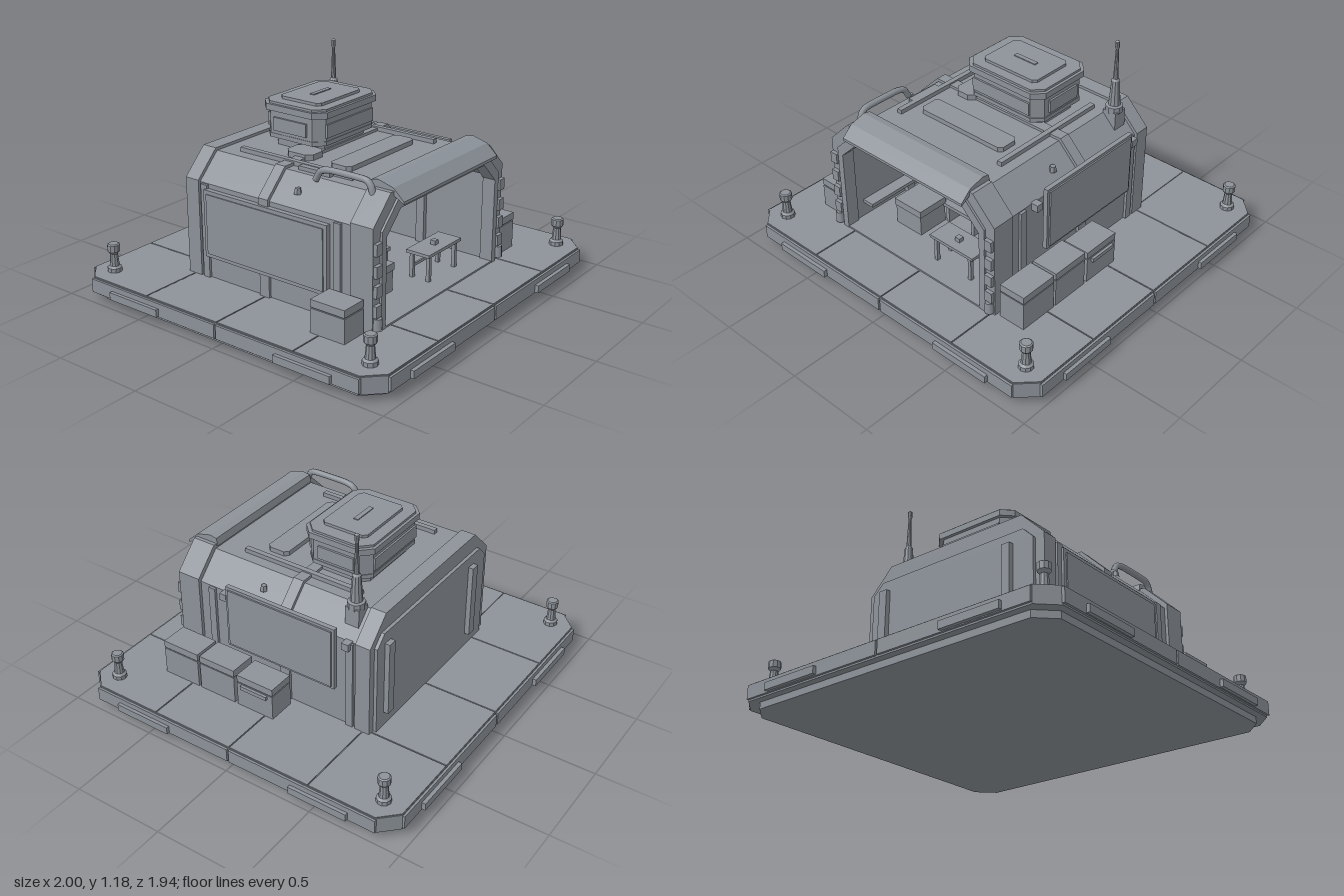
import * as THREE from 'three';

const steel = new THREE.MeshStandardMaterial({ color: 0x8c9299 });
steel.name = 'steel grey';

export function createModel() {
  const root = new THREE.Group();
  root.name = 'outpost';

  const add = (name, geo, parent = root) => {
    const m = new THREE.Mesh(geo, steel);
    m.name = name;
    parent.add(m);
    return m;
  };
  // box given by its limits
  const box = (name, x0, x1, y0, y1, z0, z1, parent) => {
    const g = new THREE.BoxGeometry(x1 - x0, y1 - y0, z1 - z0);
    g.translate((x0 + x1) / 2, (y0 + y1) / 2, (z0 + z1) / 2);
    return add(name, g, parent);
  };
  const shapeOf = pts => new THREE.Shape(pts.map(p => new THREE.Vector2(p[0], p[1])));
  const extrude = (pts, depth) => new THREE.ExtrudeGeometry(shapeOf(pts), { depth, bevelEnabled: false });
  // horizontal polygon of (x, z) points, raised from y0 to y1
  const plate = (name, pts, y0, y1, parent) => {
    const g = extrude(pts.map(([x, z]) => [x, -z]), y1 - y0);
    g.rotateX(-Math.PI / 2).translate(0, y0, 0);
    return add(name, g, parent);
  };
  const cutRect = (x0, x1, z0, z1, c) => [[x0 + c, z1], [x1 - c, z1], [x1, z1 - c], [x1, z0 + c],
    [x1 - c, z0], [x0 + c, z0], [x0, z0 + c], [x0, z1 - c]];
  const slab = (name, x0, x1, z0, z1, y0, y1, c, parent) => plate(name, cutRect(x0, x1, z0, z1, c), y0, y1, parent);
  const lathe = (name, pts, x, y, z, n = 12) => {
    const g = new THREE.LatheGeometry(pts.map(p => new THREE.Vector2(p[0], p[1])), n).toNonIndexed();
    g.computeVertexNormals();
    return add(name, g.translate(x, y, z));
  };

  // platform
  slab('platformFoot', -0.93, 0.93, -0.9, 0.9, 0, 0.04, 0.09);
  slab('platformSlab', -0.97, 0.97, -0.94, 0.94, 0.036, 0.123, 0.09);
  const cols = [-0.97, -0.485, 0, 0.485, 0.97], rows = [-0.94, -0.47, 0, 0.47, 0.94], gap = 0.003;
  for (let i = 0; i < 4; i++) for (let j = 0; j < 4; j++) {
    const xa = cols[i] + gap, xb = cols[i + 1] - gap, za = rows[j] + gap, zb = rows[j + 1] - gap;
    const pts = [];
    for (const [x, z, first] of [[xa, zb, 'z'], [xb, zb, 'x'], [xb, za, 'z'], [xa, za, 'x']]) {
      const corner = Math.abs(x) > 0.9 && Math.abs(z) > 0.9;
      const a = [x, z - Math.sign(z) * 0.09], b = [x - Math.sign(x) * 0.09, z];
      if (!corner) pts.push([x, z]);
      else pts.push(...(first === 'z' ? [a, b] : [b, a]));
    }
    plate('deckTile', pts, 0.122, 0.128);
  }
  for (const s of [-1, 1]) {
    const span = (a, b) => [Math.min(s * a, s * b), Math.max(s * a, s * b)];
    for (const [a, b] of [[-0.88, -0.006], [0.006, 0.88]]) {
      box('edgeTrimLong', a, b, 0.045, 0.118, ...span(0.93, 0.952));
      box('edgeTrimSide', ...span(0.96, 0.982), 0.045, 0.118, a * 0.97, b * 0.97);
    }
    for (const t of [-1, 1]) {
      const c = t * 0.56, d = t * 0.54;
      box('edgeBumperLong', c - 0.17, c + 0.17, 0.05, 0.09, ...span(0.94, 0.972));
      box('edgeBumperSide', ...span(0.97, 1), 0.05, 0.09, d - 0.165, d + 0.165);
      lathe('bollard', [[0, 0], [0.038, 0], [0.038, 0.025], [0.026, 0.035], [0.02, 0.1], [0.033, 0.115],
        [0.033, 0.15], [0.026, 0.155], [0, 0.155]], s * 0.852, 0.125, t * 0.82, 10);
    }
  }

  // hut shell: cut-corner arch cross-sections
  const arch = (x0, x1, top, c, y0 = 0.125) =>
    [[x0, y0], [x0, top - c], [x0 + c, top], [x1 - c, top], [x1, top - c], [x1, y0]];
  const ring = (name, outer, inner, z0, z1) =>
    add(name, extrude([...outer, ...inner.slice().reverse()], z1 - z0).translate(0, 0, z0));
  const body = arch(-0.603, 0.492, 0.765, 0.13), room = arch(-0.54, 0.43, 0.715, 0.11);
  const rib = arch(-0.617, 0.507, 0.78, 0.135);
  ring('hutWalls', body, room, -0.43, 0.54);
  ring('frontFrame', arch(-0.62, 0.51, 0.79, 0.135), room, 0.53, 0.66);
  ring('doorTrim', arch(-0.565, 0.455, 0.75, 0.125), arch(-0.53, 0.42, 0.7, 0.11), 0.6, 0.672);
  ring('middleRib', rib, body, -0.03, 0.03);
  ring('innerRib', arch(-0.545, 0.435, 0.72, 0.11), arch(-0.515, 0.405, 0.69, 0.1), 0.2, 0.25);
  add('backWall', extrude(rib, 0.085).translate(0, 0, -0.51));
  add('backPanel', extrude(arch(-0.565, 0.47, 0.69, 0.06), 0.02).translate(0, 0, -0.528));
  for (const x of [-0.42, 0.38]) box('backStrip', x - 0.025, x + 0.025, 0.21, 0.63, -0.555, -0.52);
  box('roomFloor', -0.545, 0.435, 0.125, 0.137, -0.43, 0.67);

  // side wall panels and ribs
  box('rightPanelMount', 0.48, 0.525, 0.38, 0.63, -0.3, 0.29);
  box('rightPanel', 0.52, 0.545, 0.355, 0.71, -0.33, 0.325);
  box('rightPanelFace', 0.54, 0.553, 0.37, 0.695, -0.315, 0.31);
  box('leftPanel', -0.63, -0.59, 0.25, 0.61, -0.38, 0.4);
  box('leftPanelFace', -0.636, -0.62, 0.27, 0.59, -0.36, 0.38);
  for (const z of [0.45, -0.39]) {
    box('wallRib', 0.48, 0.507, 0.125, 0.63, z - 0.02, z + 0.02);
    box('wallRib', -0.617, -0.59, 0.125, 0.63, z - 0.02, z + 0.02);
  }
  for (const z of [-0.38, 0.36]) box('wallBracket', 0.48, 0.53, 0.6, 0.64, z - 0.02, z + 0.02);
  for (const x of [-0.55, 0.44]) lathe('shoulderKnob', [[0.02, 0], [0.015, 0.03], [0, 0.03]], x, 0.69, 0.165, 6);

  // door pillar blocks and lamps
  for (const x of [-0.593, 0.483]) {
    for (const y of [0.24, 0.34, 0.44, 0.55]) box('pillarBlock', x - 0.022, x + 0.022, y - 0.03, y + 0.03, 0.65, 0.68);
    const lamp = new THREE.CylinderGeometry(0.022, 0.026, 0.06, 8);
    add('pillarLamp', lamp.translate(x, 0.175, 0.67));
  }

  // canopy over the door
  const canopy = extrude([[0.52, 0.78], [0.64, 0.78], [0.715, 0.735], [0.715, 0.75], [0.655, 0.805],
    [0.57, 0.828], [0.53, 0.82]], 0.815);
  add('canopy', canopy.rotateY(-Math.PI / 2).translate(0.355, 0, 0));

  // roof rails, plates and pipe
  for (const x of [-0.4, 0.29]) box('roofRail', x - 0.014, x + 0.014, 0.76, 0.788, -0.32, 0.385);
  box('railBox', -0.445, -0.4, 0.76, 0.785, 0.085, 0.275);
  slab('roofPlate', -0.33, 0.225, 0.18, 0.305, 0.76, 0.79, 0.02);
  slab('roofVent', -0.33, -0.2, -0.105, 0.06, 0.76, 0.795, 0.03);
  const path = new THREE.CatmullRomCurve3([[0.57, 0.75], [0.555, 0.8], [0.52, 0.826], [0.32, 0.826], [0.26, 0.81], [0.23, 0.76]]
    .map(([z, y]) => new THREE.Vector3(-0.495, y, z)), false, 'catmullrom', 0.3);
  add('roofPipe', new THREE.TubeGeometry(path, 24, 0.017, 8));

  // roof turret
  const turret = new THREE.Group();
  turret.name = 'roofTurret';
  root.add(turret);
  for (const [name, inset, y0, y1] of [['turretNeck', 0.05, 0.76, 0.82], ['turretSill', 0.015, 0.81, 0.832],
    ['turretBody', 0.018, 0.832, 0.955], ['turretCap', 0, 0.955, 0.988], ['turretLid', 0.015, 0.988, 1]])
    slab(name, -0.257, 0.26, -0.335, 0.07, y0, y1, 0.055, turret).geometry
      .translate(-0.0015, 0, 0.1325).scale((0.517 - 2 * inset) / 0.517, 1, (0.405 - 2 * inset) / 0.405)
      .translate(0.0015, 0, -0.1325);
  slab('turretHatch', -0.178, 0.175, -0.26, 0, 0.995, 1.015, 0.02, turret);
  box('hatchHandle', -0.07, 0.07, 1.012, 1.02, -0.145, -0.12, turret);
  box('turretFrontPanel', -0.19, 0.19, 0.85, 0.92, 0.04, 0.062, turret);
  box('turretBackPanel', -0.19, 0.19, 0.85, 0.92, -0.327, -0.3, turret);
  box('turretSidePanels', -0.25, 0.253, 0.85, 0.92, -0.24, -0.03, turret);

  // antenna
  lathe('antenna', [[0, 0], [0.046, 0], [0.046, 0.035], [0.032, 0.04], [0.022, 0.18], [0.014, 0.19], [0.008, 0.36],
    [0.012, 0.37], [0.012, 0.4], [0, 0.41]], 0.4, 0.775, -0.36, 10);
  box('antennaFoot', 0.36, 0.44, 0.68, 0.785, -0.4, -0.32);

  // storage crates beside the walls
  const crate = (x0, x1, z0, z1, top) => {
    box('crateBody', x0, x1, 0.125, top - 0.045, z0, z1);
    box('crateSeam', x0 + 0.006, x1 - 0.006, top - 0.046, top - 0.038, z0 + 0.006, z1 - 0.006);
    box('crateLid', x0, x1, top - 0.039, top, z0, z1);
  };
  crate(0.53, 0.68, 0.425, 0.645, 0.325);
  crate(0.53, 0.68, 0.19, 0.41, 0.325);
  crate(0.53, 0.68, -0.05, 0.17, 0.31);
  box('crateLatch', 0.67, 0.695, 0.24, 0.262, -0.02, 0.14);
  crate(-0.78, -0.635, 0.42, 0.62, 0.3);

  // room furniture
  box('tableTop', -0.02, 0.275, 0.275, 0.292, 0.43, 0.57);
  for (const x of [0.01, 0.245]) for (const z of [0.45, 0.55])
    box('tableLeg', x - 0.01, x + 0.01, 0.13, 0.28, z - 0.01, z + 0.01);
  box('tableBar', 0.01, 0.245, 0.19, 0.205, 0.445, 0.455);
  box('mug', 0.11, 0.14, 0.29, 0.315, 0.49, 0.52);
  box('chest', -0.37, -0.19, 0.13, 0.25, 0.29, 0.47);
  box('chestLid', -0.375, -0.185, 0.25, 0.29, 0.285, 0.475);
  box('desk', -0.2, 0.03, 0.235, 0.255, 0.1, 0.3);
  for (const x of [-0.18, 0.0]) box('deskLeg', x, x + 0.02, 0.13, 0.24, 0.11, 0.29);
  box('screen', -0.18, -0.07, 0.3, 0.385, 0.18, 0.2);
  box('screenStand', -0.135, -0.115, 0.25, 0.31, 0.18, 0.2);
  box('wallBench', -0.545, -0.47, 0.22, 0.24, 0.1, 0.55);
  for (const [x0, x1] of [[-0.455, -0.23], [-0.155, 0.045], [0.1, 0.36]]) {
    const c = (x0 + x1) / 2;
    box('wallShelf', x0, x1, 0.575, 0.597, -0.43, -0.3);
    box('wallCabinet', x0 + 0.01, x1 - 0.01, 0.3, 0.57, -0.43, -0.415);
    box('ceilingLamp', c - 0.065, c + 0.065, 0.67, 0.69, 0.3, 0.34);
  }
  return root;
}
